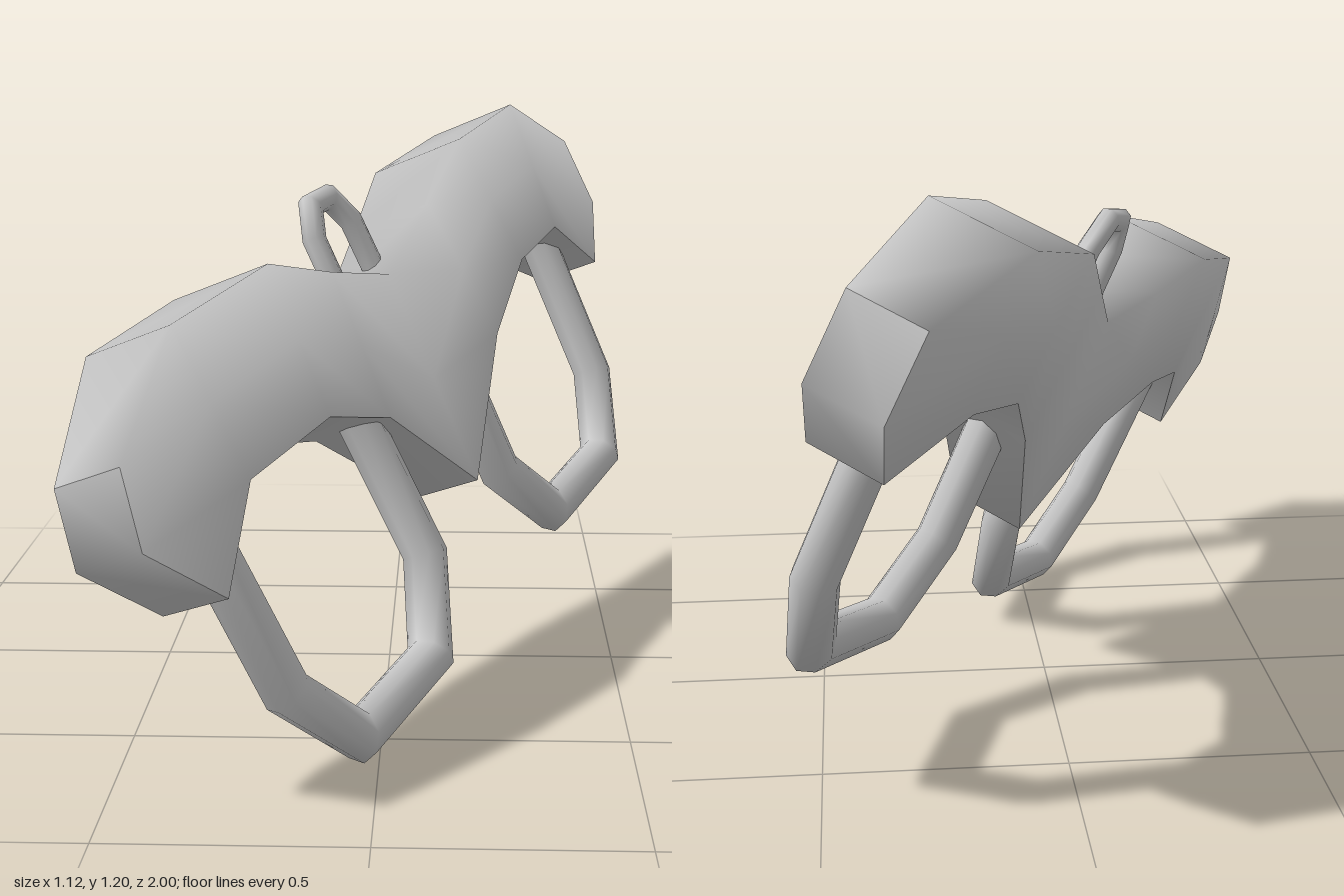
import * as THREE from 'three';

const V = (x, y, z) => new THREE.Vector3(x, y, z);
// The whole yoke lies in one tilted plane; N is that plane's normal.
const N = V(0.815, 0.367, 0.45).normalize();
const onPlane = (z, y) => V((0.26 - 0.367 * y - 0.45 * z) / 0.815, y, z);

// Skin a list of cross-sections with quads.
function loft(rings, closed = false) {
  const count = rings[0].length;
  const index = [];
  for (let i = 0; i < rings.length - 1; i++) {
    for (let j = 0; j < (closed ? count : count - 1); j++) {
      const k = (j + 1) % count;
      const a = i * count + j, b = a + count;
      const c = i * count + k, d = c + count;
      index.push(a, b, c, b, d, c);
    }
  }
  const geometry = new THREE.BufferGeometry().setFromPoints(rings.flat());
  geometry.setIndex(index);
  geometry.computeVertexNormals();
  return geometry;
}

// Mitred round rod following a bent path in the yoke's plane.
function rod(points, radius, sides = 8) {
  const path = points.map(([z, y]) => onPlane(z, y));
  const last = path.length - 1;
  const rings = path.map((p, i) => {
    const before = path[i].clone().sub(path[Math.max(i - 1, 0)]).normalize();
    const after = path[Math.min(i + 1, last)].clone().sub(path[i]).normalize();
    const tangent = before.clone().add(after).normalize();
    const stretch = 1 / tangent.dot(i < last ? after : before);
    const side = N.clone().cross(tangent).normalize();
    return Array.from({ length: sides }, (_, j) => {
      const angle = (j / sides) * Math.PI * 2;
      return p.clone()
        .addScaledVector(N, Math.cos(angle) * radius)
        .addScaledVector(side, Math.sin(angle) * radius * stretch);
    });
  });
  return loft(rings, true);
}

// Let the shading run evenly over the full height of the front and back.
function softenMiddles(geometry, count) {
  const normals = geometry.attributes.normal;
  const read = (i) => new THREE.Vector3().fromBufferAttribute(normals, i);
  for (let i = 0; i < normals.count; i += count) {
    for (const j of [i + 1, i + 4]) {
      const n = read(j - 1).add(read(j + 1)).normalize();
      normals.setXYZ(j, n.x, n.y, n.z);
    }
  }
  return geometry;
}

export function createModel() {
  const model = new THREE.Group();
  model.name = 'yoke';
  const grey = new THREE.MeshStandardMaterial({ color: 0xc6c6c6 });
  grey.name = 'lightGrey';
  const add = (name, geometry, parent = model) => {
    const mesh = new THREE.Mesh(geometry, grey);
    mesh.name = name;
    parent.add(mesh);
  };

  // Beam stations: upper front edge, lower front edge, thickness.
  const stations = [
    [V(-0.43, 0.685, 0.97), V(-0.26, 0.415, 0.86), 0.16],
    [V(-0.37, 0.895, 0.76), V(-0.23, 0.605, 0.74), 0.21],
    [V(-0.22, 0.965, 0.47), V(-0.1, 0.665, 0.48), 0.245],
    [V(-0.11, 0.915, 0.24), V(0.01, 0.61, 0.24), 0.2],
    [V(0, 0.88, 0.03), V(0.195, 0.42, 0.02), 0.165],
    [V(0.08, 1.01, -0.17), V(0.24, 0.71, -0.2), 0.21],
    [V(0.15, 1.14, -0.35), V(0.3, 0.855, -0.38), 0.245],
    [V(0.275, 1.2, -0.66), V(0.39, 0.9, -0.64), 0.23],
    [V(0.425, 1.09, -0.92), V(0.503, 0.79, -0.8), 0.165],
  ];
  const tips = { 0: V(-0.39, 0.54, 1), 8: V(0.503, 0.93, -0.93) };
  const sections = stations.map(([top, bottom, thickness], i) => {
    const middle = tips[i] || top.clone().lerp(bottom, 0.5);
    const back = (p) => p.clone().addScaledVector(N, -thickness);
    return [bottom, middle, top, back(top), back(middle), back(bottom)];
  });

  const beam = new THREE.Group();
  beam.name = 'beam';
  model.add(beam);
  add('beamFrontTopAndBack', softenMiddles(loft(sections), 6), beam);
  add('beamUnderside', loft(sections.map((s) => [s[5], s[0]])), beam);

  // Softly bent end faces
  const [first, final] = [sections[0], sections[8]];
  add('frontEndFace', loft([[first[2], first[1], first[0]], first.slice(3)]), beam);
  add('rearEndFace', loft([final.slice(3), [final[2], final[1], final[0]]]), beam);

  // Neck bows and the hitching loop, as (z, y) points in the plane
  add('frontBow', rod([[0.755, 0.62], [0.73, 0.19], [0.605, 0.053],
    [0.31, 0.115], [0.185, 0.3], [0.2, 0.62]], 0.048));
  add('rearBow', rod([[-0.2, 0.77], [-0.19, 0.39], [-0.315, 0.262],
    [-0.615, 0.328], [-0.74, 0.515], [-0.755, 0.9]], 0.048));
  add('hitchLoop', rod([[0.08, 0.82], [0.08, 0.96], [0.043, 1.028],
    [-0.025, 1.04], [-0.066, 0.985], [-0.07, 0.85]], 0.026));

  return model;
}
